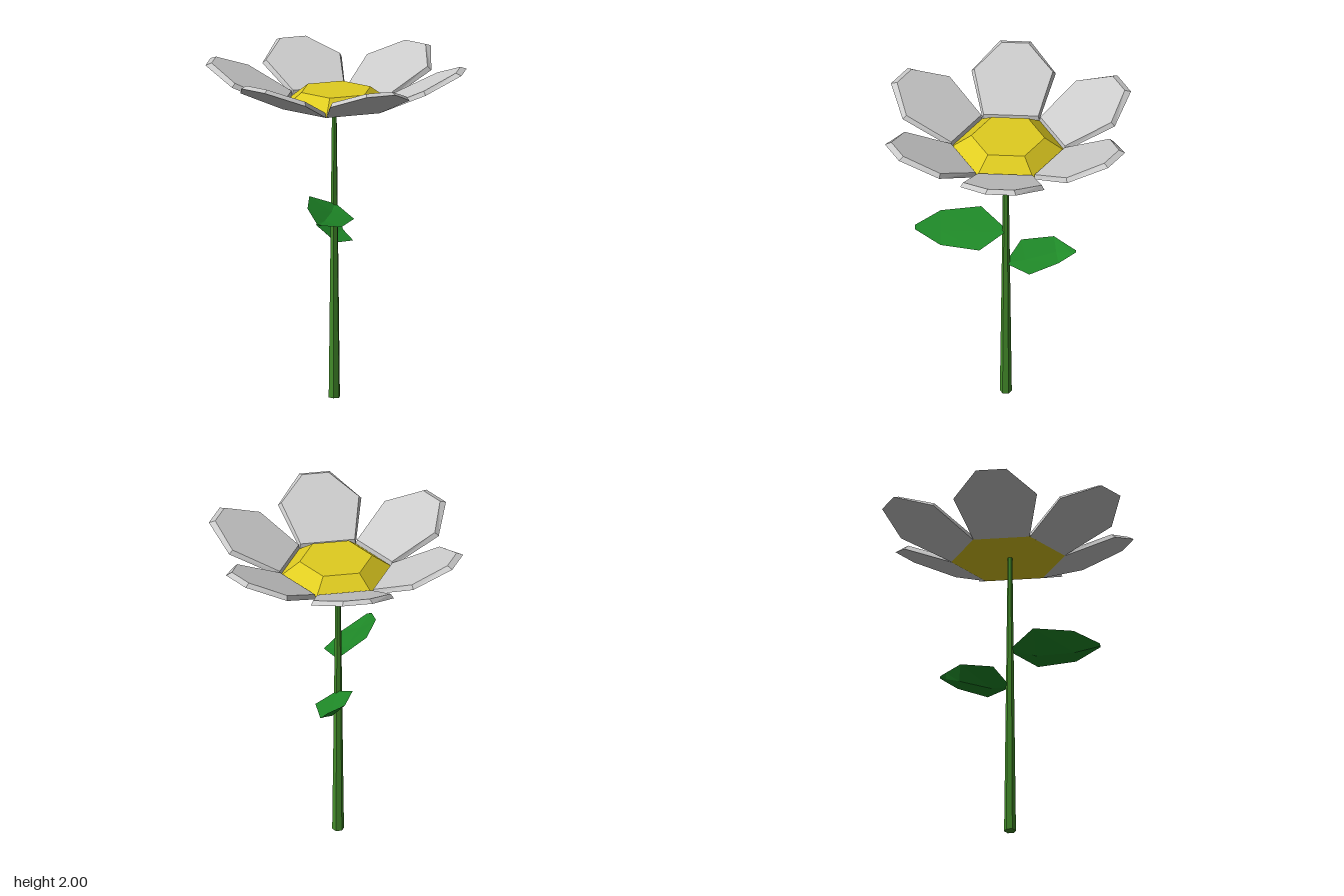
import * as THREE from 'three';

const paint = (color) => new THREE.MeshStandardMaterial({ color, flatShading: true });

// Closed solid through rings of points, each ring anticlockwise seen from the next one
function loft(rings) {
  const n = rings[0].length, last = (rings.length - 1) * n, index = [];
  for (let i = 0; i < rings.length - 1; i++) {
    for (let j = 0; j < n; j++) {
      const a = i * n + j, b = i * n + (j + 1) % n;
      index.push(a, b, b + n, a, b + n, a + n);
    }
  }
  for (let j = 1; j < n - 1; j++) {
    index.push(0, j + 1, j, last, last + j, last + j + 1);
  }
  const geo = new THREE.BufferGeometry();
  geo.setAttribute('position', new THREE.Float32BufferAttribute(rings.flat(2), 3));
  geo.setIndex(index);
  geo.computeVertexNormals();
  return geo;
}

// Leaf from pairs of edge points, with a sunken midrib and a thin lens section
function leafGeometry(sections) {
  return loft(sections.map(([p, q]) => {
    const width = Math.hypot(p[0] - q[0], p[1] - q[1]);
    const mid = (k) => [(p[0] + q[0]) / 2, (p[1] + q[1]) / 2 - k * width, (p[2] + q[2]) / 2];
    return [p, mid(0.09), q, mid(0.18)];
  }));
}

// Petal pointing along +x: half outline mirrored in z, rising outwards
function petalGeometry() {
  const ring = (half, y) => [...half, ...half.map(([x, z]) => [x, -z]).reverse()]
    .map(([x, z]) => [x, y + 0.479 * (x - 0.29), z]);
  return loft([
    ring([[0.29, 0.166], [0.575, 0.247], [0.76, 0.09]], 1.76),
    ring([[0.292, 0.16], [0.56, 0.23], [0.725, 0.078]], 1.79),
  ]);
}

export function createModel() {
  const model = new THREE.Group();
  const add = (name, geo, material, x = 0, y = 0, z = 0) => {
    const mesh = new THREE.Mesh(geo, material);
    mesh.name = name;
    mesh.position.set(x, y, z);
    model.add(mesh);
    return mesh;
  };

  // Tapered stem
  add('stem', new THREE.CylinderGeometry(0.014, 0.035, 1.77, 6), paint(0x438c2a), -0.008, 0.885, 0.013);

  // Hexagonal flower centre
  add('flowerCentre', new THREE.CylinderGeometry(0.215, 0.335, 0.09, 6), paint(0xe0cc20), 0, 1.805, 0);

  // Six petals around the centre
  const petal = petalGeometry(), petalPaint = paint(0xcccccc);
  for (let i = 0; i < 6; i++) {
    add('petal' + (i + 1), petal, petalPaint).rotation.y = i * Math.PI / 3;
  }

  // Upper leaf reaching forwards, lower leaf reaching backwards
  const leafPaint = paint(0x1f8a28);
  leafPaint.side = THREE.DoubleSide;
  add('upperLeaf', leafGeometry([
    [[0.012, 1.16, 0.02], [-0.02, 1.172, 0.02]],
    [[0.135, 1.115, 0.16], [-0.13, 1.242, 0.165]],
    [[0.1, 1.12, 0.39], [-0.1, 1.225, 0.4]],
    [[0.01, 1.162, 0.545], [-0.02, 1.172, 0.545]],
  ]), leafPaint);
  add('lowerLeaf', leafGeometry([
    [[-0.02, 0.948, 0], [0.012, 0.93, 0]],
    [[-0.13, 1.01, -0.07], [0.08, 0.912, -0.13]],
    [[-0.153, 1.025, -0.26], [-0.01, 0.935, -0.295]],
    [[-0.08, 1.01, -0.355], [-0.035, 0.97, -0.36]],
    [[-0.058, 0.998, -0.395], [-0.045, 0.992, -0.395]],
  ]), leafPaint);

  return model;
}
